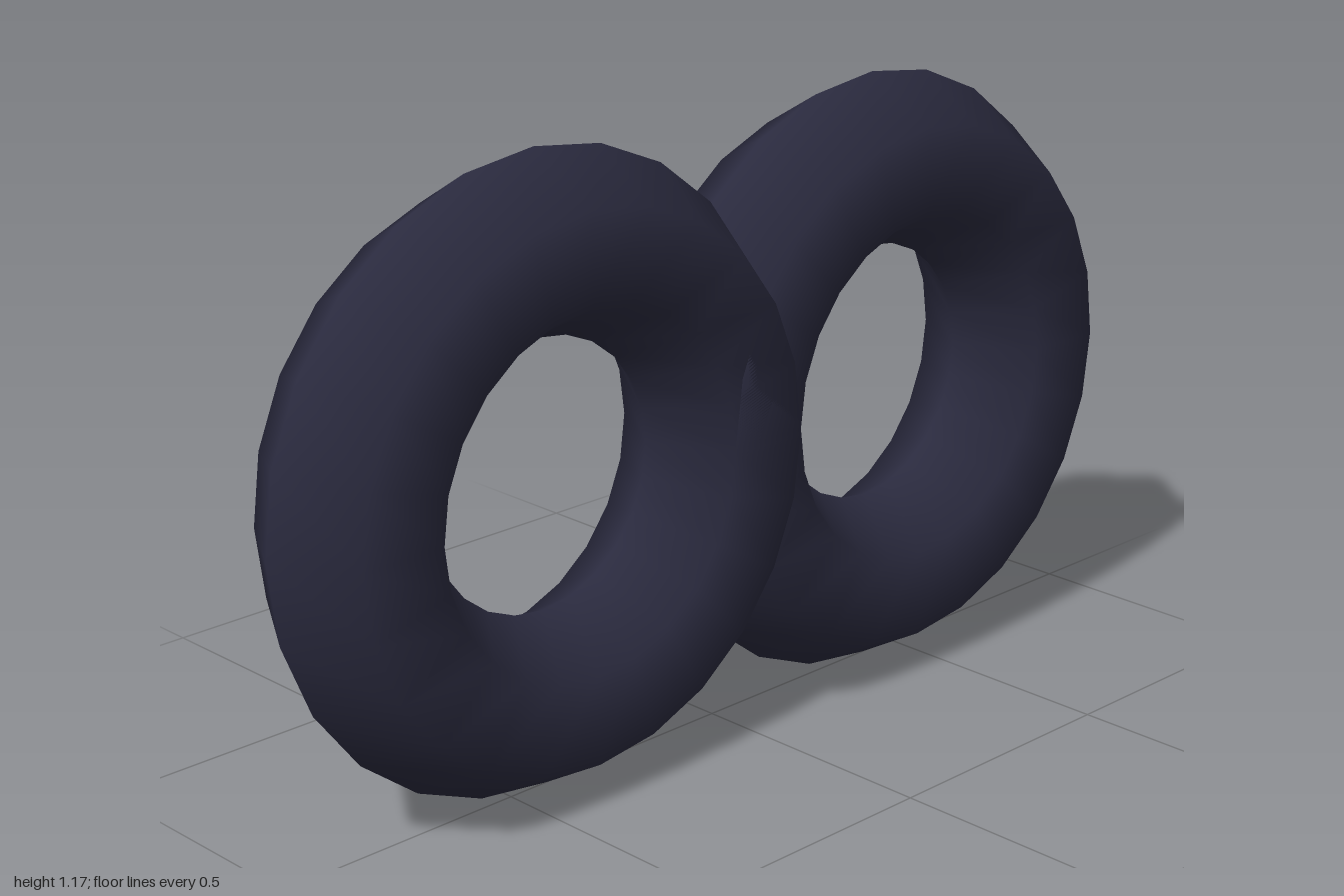
import * as THREE from 'three';

export function createModel() {
  const group = new THREE.Group();
  group.name = 'doubleRing';

  const darkNavy = new THREE.MeshStandardMaterial({ color: 0x2a2a3e });
  darkNavy.name = 'darkNavy';

  // Two overlapping rings with a six-sided tube, side by side
  const ringRadius = 0.4167;
  const tubeRadius = 0.1667;
  const ringGeometry = new THREE.TorusGeometry(ringRadius, tubeRadius, 6, 24);

  for (const [name, side] of [['rightRing', -1], ['leftRing', 1]]) {
    const ring = new THREE.Mesh(ringGeometry, darkNavy);
    ring.name = name;
    ring.position.set(side * ringRadius, ringRadius + tubeRadius, 0);
    group.add(ring);
  }

  return group;
}
